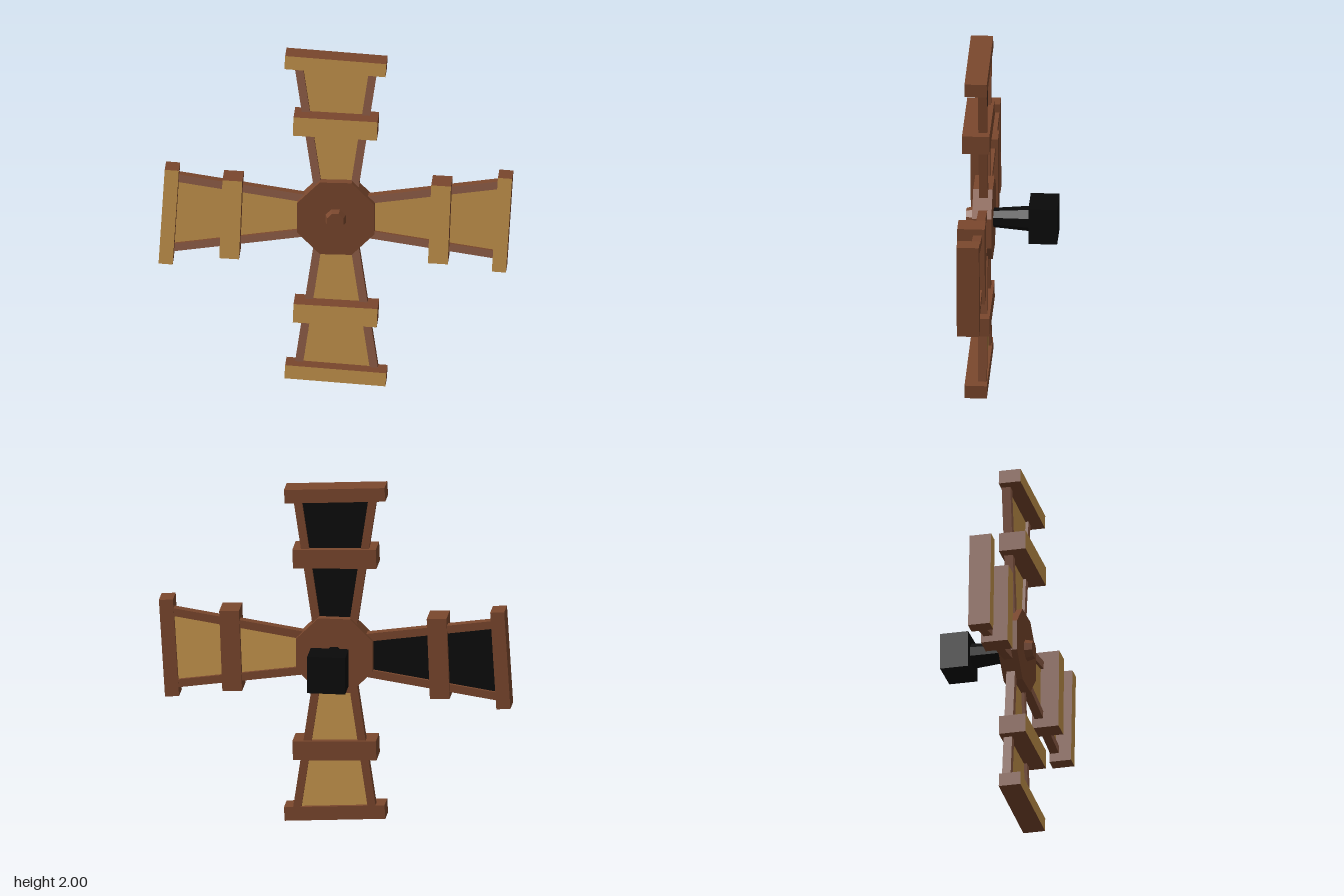
import * as THREE from 'three';

const mat = (name, color) => {
  const m = new THREE.MeshStandardMaterial({ color });
  m.name = name;
  return m;
};

export function createModel() {
  const wood = mat('dark wood', 0x7a472d);
  const railWood = mat('light rail wood', 0x94614a);
  const tan = mat('tan', 0xc8974d);
  const black = mat('black', 0x0a0a0a);

  const root = new THREE.Group();
  root.name = 'windmillSails';
  const rotor = new THREE.Group();
  rotor.name = 'rotor';
  rotor.position.y = 1;
  root.add(rotor);

  const add = (parent, name, geo, material, x, y, z) => {
    const mesh = new THREE.Mesh(geo, material);
    mesh.name = name;
    mesh.position.set(x, y, z);
    parent.add(mesh);
    return mesh;
  };
  // Six box faces in one material, with another on the front and back
  const faced = (front, back = wood) => [wood, wood, wood, wood, front, back];

  // Eight-sided prism along z, flat side up; faceted by splitting its corners
  const prism = (rFront, rBack, length) => {
    const g = new THREE.CylinderGeometry(rFront, rBack, length, 8);
    g.rotateY(Math.PI / 8);
    g.rotateX(Math.PI / 2);
    const flat = g.toNonIndexed();
    flat.computeVertexNormals();
    return flat;
  };

  // Tapered cloth panel between the rails
  const panelGeo = () => {
    const g = new THREE.BoxGeometry(1, 0.74, 0.016);
    const p = g.attributes.position;
    for (let i = 0; i < p.count; i++) {
      p.setX(i, p.getX(i) * (p.getY(i) > 0 ? 0.39 : 0.195));
    }
    return g;
  };

  // Four sails: top, right, bottom, left
  for (let k = 0; k < 4; k++) {
    const sail = new THREE.Group();
    sail.name = 'sail' + (k + 1);
    sail.rotation.z = k * Math.PI / 2;
    rotor.add(sail);

    add(sail, 'panel', panelGeo(), faced(tan, k < 2 ? black : tan), 0, 0.55, 0.15);
    for (const s of [-1, 1]) {
      const rail = add(sail, 'rail', new THREE.BoxGeometry(0.046, 0.75, 0.05), faced(railWood), s * 0.159, 0.55, 0.15);
      rail.rotation.z = -s * 0.146;
    }
    // Slightly crooked cross bars
    const mid = add(sail, 'middleBar', new THREE.BoxGeometry(0.475, 0.112, 0.155), faced(tan), 0, k % 2 ? 0.59 : 0.569, 0.187);
    mid.rotation.z = -0.038;
    const end = add(sail, 'endBar', new THREE.BoxGeometry(0.573, 0.08, 0.126), faced(tan), 0, 0.942, 0.184);
    end.rotation.z = -0.061;
  }

  // Hub, front pin, axle and rear block
  add(rotor, 'hub', prism(0.236, 0.236, 0.11), wood, 0, 0, 0.155);
  add(rotor, 'pin', prism(0.05, 0.063, 0.05), wood, 0, 0, 0.23);
  add(rotor, 'axle', prism(0.054, 0.072, 0.22), black, 0, 0, 0);
  add(rotor, 'axleBlock', new THREE.BoxGeometry(0.216, 0.216, 0.163), black, 0, 0, -0.184);
  return root;
}
